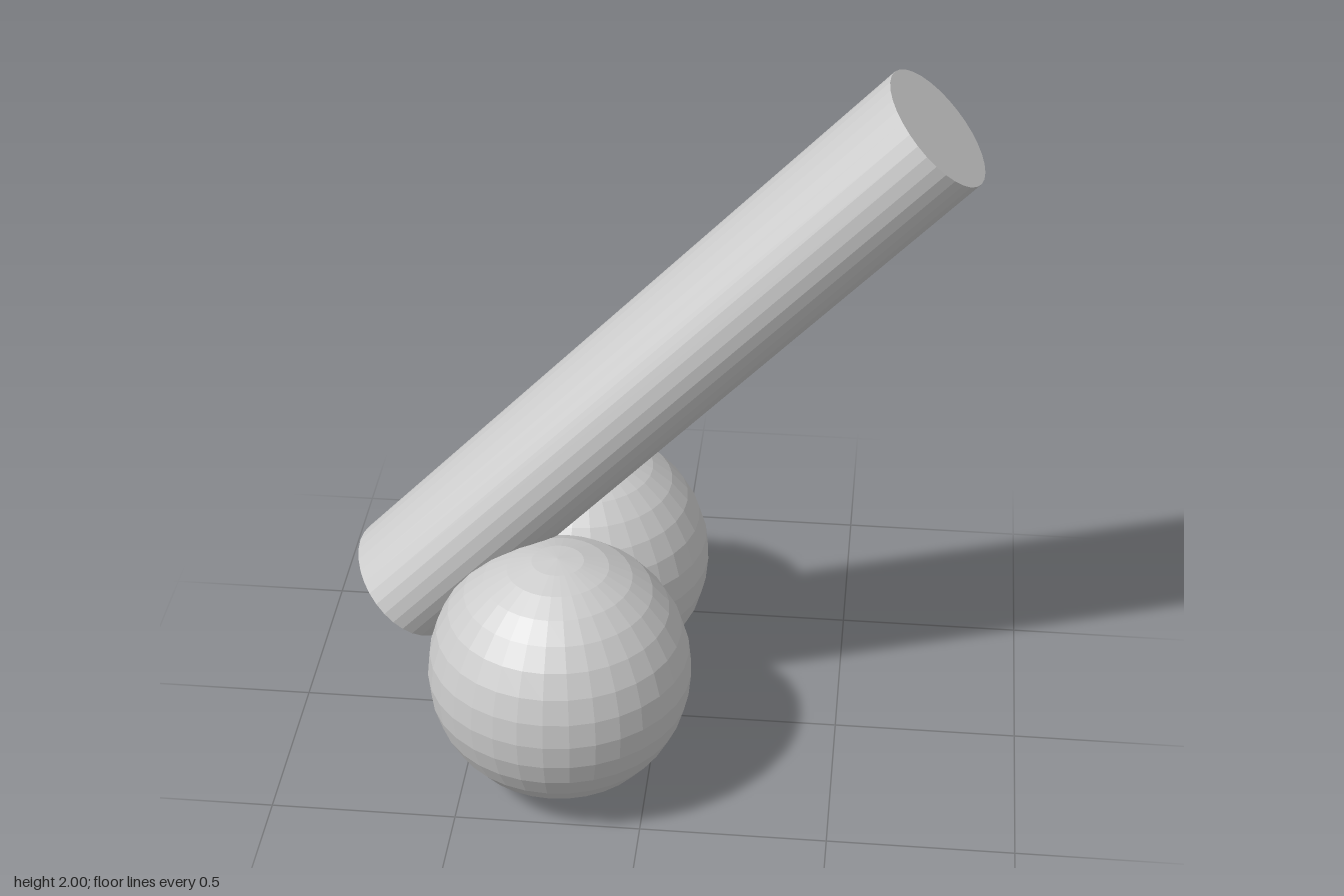
import * as THREE from 'three';

export function createModel() {
  const model = new THREE.Group();
  const material = new THREE.MeshStandardMaterial({ color: 0xcccccc, flatShading: true });

  // Slanted shaft with an oval cross-section, wider along z
  const low = new THREE.Vector3(-0.697, 0.432, 0.01);
  const high = new THREE.Vector3(0.693, 1.883, 0.01);
  const axis = high.clone().sub(low);
  const shaftGeometry = new THREE.CylinderGeometry(1, 1, axis.length(), 32);
  shaftGeometry.scale(0.17, 1, 0.21);
  const shaft = new THREE.Mesh(shaftGeometry, material);
  shaft.name = 'shaft';
  shaft.position.copy(low).add(high).multiplyScalar(0.5);
  shaft.rotation.z = -Math.atan2(axis.x, axis.y);
  model.add(shaft);

  // Pair of overlapping balls, front and back of the shaft
  const ballGeometry = new THREE.SphereGeometry(0.354, 32, 16);
  for (const [name, side] of [['frontBall', 1], ['backBall', -1]]) {
    const ball = new THREE.Mesh(ballGeometry, material);
    ball.name = name;
    ball.position.set(-0.238, 0.356, side * 0.272);
    model.add(ball);
  }

  return model;
}
